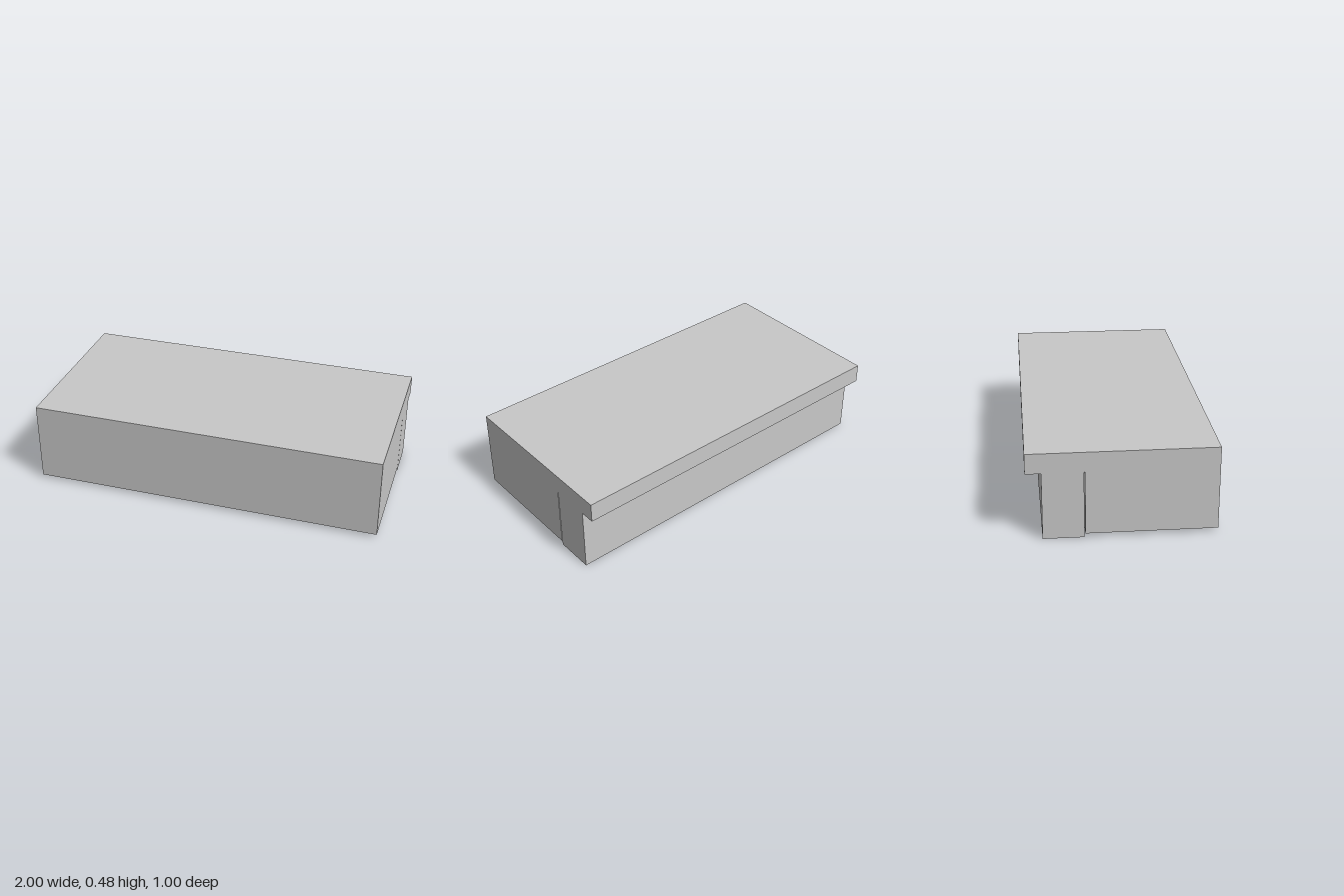
import * as THREE from 'three';

export function createModel() {
  const group = new THREE.Group();
  const grey = new THREE.MeshStandardMaterial({ color: 0xc8c8c8 });
  grey.name = 'plain grey';

  // Side profile as [z, y]: raised front section, narrow slot, rear block, overhanging top
  const profile = [
    [0.5, 0.024], [0.5, 0.48], [-0.5, 0.48], [-0.5, 0.37], [-0.417, 0.37],
    [-0.417, 0], [-0.2, 0], [-0.2, 0.37], [-0.195, 0.37], [-0.195, 0.024],
  ];
  const shape = new THREE.Shape(profile.map(([z, y]) => new THREE.Vector2(-z, y)));
  const bodyGeometry = new THREE.ExtrudeGeometry(shape, { depth: 2, bevelEnabled: false });
  bodyGeometry.translate(0, 0, -1);
  bodyGeometry.rotateY(Math.PI / 2);
  const body = new THREE.Mesh(bodyGeometry, grey);
  body.name = 'body';
  group.add(body);

  // Pair of thin underside panels meeting at a centre seam
  for (const side of [-1, 1]) {
    const panel = new THREE.Mesh(new THREE.BoxGeometry(0.999, 0.003, 0.695), grey);
    panel.name = side > 0 ? 'leftUndersidePanel' : 'rightUndersidePanel';
    panel.position.set(side * 0.5005, 0.0225, 0.1525);
    group.add(panel);
  }
  return group;
}
